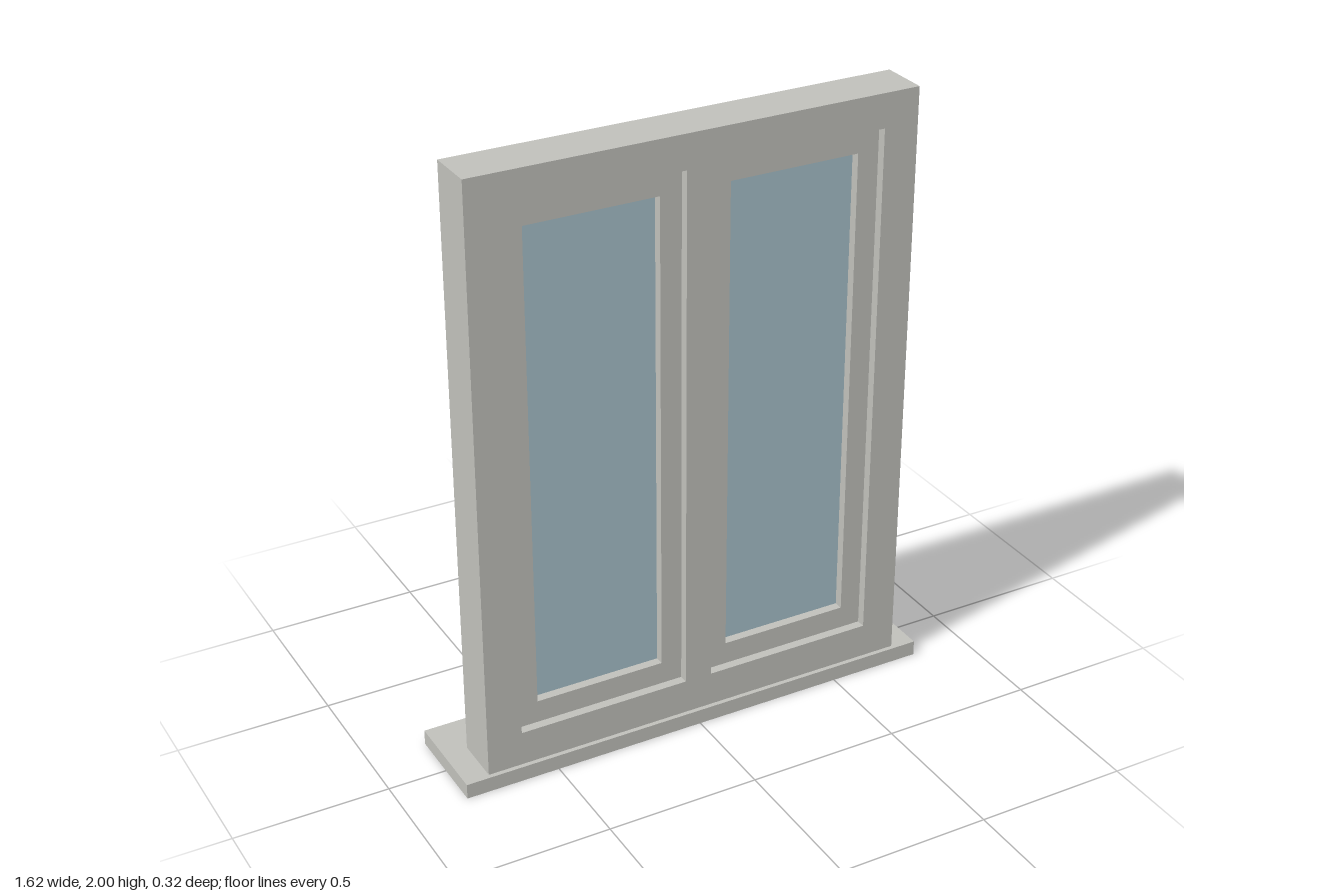
import * as THREE from 'three';

// Rectangular path from corner to corner
function rect(path, x0, y0, x1, y1) {
  path.moveTo(x0, y0);
  path.lineTo(x1, y0);
  path.lineTo(x1, y1);
  path.lineTo(x0, y1);
  path.closePath();
  return path;
}

// Flat panel with rectangular openings, spanning z0 to z1
function panel(name, outer, holes, z0, z1, material) {
  const shape = rect(new THREE.Shape(), ...outer);
  for (const h of holes) shape.holes.push(rect(new THREE.Path(), ...h));
  const geo = new THREE.ExtrudeGeometry(shape, { depth: z1 - z0, bevelEnabled: false });
  geo.translate(0, 0, z0);
  const mesh = new THREE.Mesh(geo, material);
  mesh.name = name;
  return mesh;
}

// Box given by its two extreme corners
function box(name, [x0, y0, z0], [x1, y1, z1], material) {
  const mesh = new THREE.Mesh(new THREE.BoxGeometry(x1 - x0, y1 - y0, z1 - z0), material);
  mesh.position.set((x0 + x1) / 2, (y0 + y1) / 2, (z0 + z1) / 2);
  mesh.name = name;
  return mesh;
}

export function createModel() {
  const group = new THREE.Group();
  group.name = 'window';
  const frameGrey = new THREE.MeshStandardMaterial({ name: 'frameGrey', color: 0xbfbfba });
  const glassBlue = new THREE.MeshStandardMaterial({ name: 'glassBlue', color: 0xa6c0c9 });

  // Sill and main frame with two openings
  group.add(box('sill', [-0.81, 0, -0.16], [0.81, 0.05, 0.16], frameGrey));
  group.add(panel('frame', [-0.73, 0.05, 0.73, 2],
    [[-0.615, 0.165, -0.045, 1.89], [0.045, 0.165, 0.615, 1.89]], -0.015, 0.145, frameGrey));

  // Casements: sash, pane and handle on the inner stile, mirrored
  for (const [side, s] of [['left', 1], ['right', -1]]) {
    const span = (a, b) => (s > 0 ? [a, b] : [-b, -a]);
    const casement = new THREE.Group();
    casement.name = side + 'Casement';
    const [o0, o1] = span(0.045, 0.615);
    const [g0, g1] = span(0.115, 0.545);
    const [h0, h1] = span(0.065, 0.097);
    casement.add(
      panel('sash', [o0, 0.165, o1, 1.89], [[g0, 0.24, g1, 1.815]], 0.015, 0.115, frameGrey),
      box('glass', [g0, 0.24, 0.045], [g1, 1.815, 0.085], glassBlue),
      box('handle', [h0, 0.93, -0.032], [h1, 1.125, 0.015], frameGrey),
    );
    group.add(casement);
  }
  return group;
}
